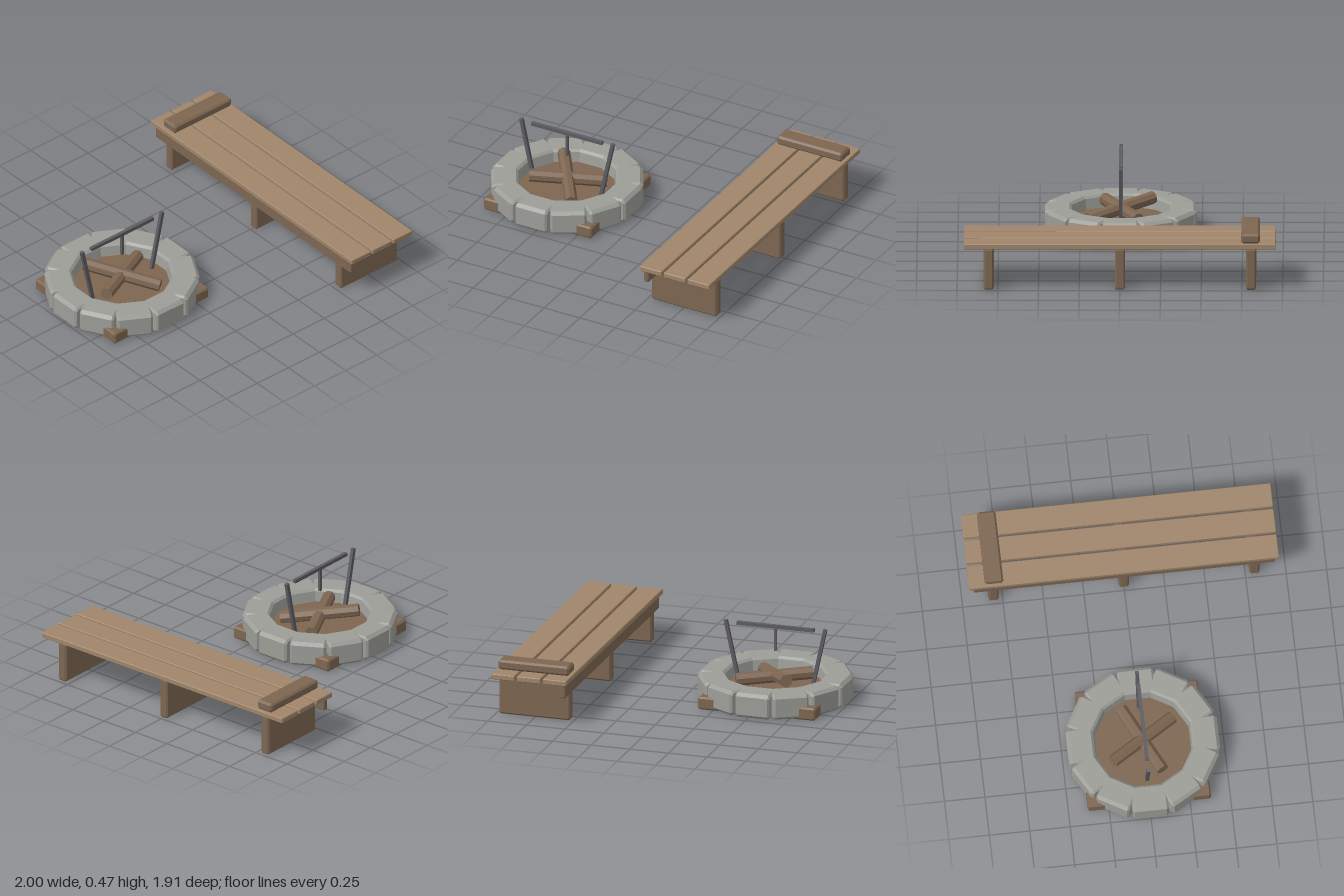
import * as THREE from 'three';

const paint = (name, color) => {
  const m = new THREE.MeshStandardMaterial({ color, flatShading: true });
  m.name = name;
  return m;
};

// Extrudes a convex outline along z, centred, with chamfered ends
function chamferedPrism(points, depth, c) {
  const shape = new THREE.Shape(points.map(([x, y]) => new THREE.Vector2(x, y)));
  const geo = new THREE.ExtrudeGeometry(shape, {
    depth: depth - 2 * c, bevelEnabled: true, bevelThickness: c,
    bevelSize: c, bevelOffset: -c, bevelSegments: 1,
  });
  return geo.translate(0, 0, c - depth / 2);
}

// Box with every edge cut by c
function chamferedBox(w, h, d, c) {
  const x = w / 2, y = h / 2;
  return chamferedPrism([
    [-x + c, -y], [x - c, -y], [x, -y + c], [x, y - c],
    [x - c, y], [-x + c, y], [-x, y - c], [-x, -y + c],
  ], d, c);
}

export function createModel() {
  const model = new THREE.Group();
  model.name = 'campfireAndBench';
  const plank = paint('light wood', 0xa0856a);
  const wood = paint('dark wood', 0x7d6651);
  const stone = paint('stone', 0x9d9d98);
  const iron = paint('iron', 0x5c5c62);

  const add = (parent, name, geo, mat, x = 0, y = 0, z = 0) => {
    const mesh = new THREE.Mesh(geo, mat);
    mesh.name = name;
    mesh.position.set(x, y, z);
    parent.add(mesh);
    return mesh;
  };
  // Straight bar between two points
  const addBar = (parent, name, a, b, geoFor, mat) => {
    const p = new THREE.Vector3(...a), q = new THREE.Vector3(...b);
    const dir = q.clone().sub(p);
    const mid = p.clone().add(q).multiplyScalar(0.5);
    const mesh = add(parent, name, geoFor(dir.length()), mat, mid.x, mid.y, mid.z);
    mesh.quaternion.setFromUnitVectors(new THREE.Vector3(0, 1, 0), dir.normalize());
    return mesh;
  };

  // Fire pit
  const pit = new THREE.Group();
  pit.name = 'firePit';
  pit.position.x = -0.533;
  model.add(pit);

  // Square wooden base whose corners show outside the ring
  add(pit, 'base', chamferedBox(0.76, 0.08, 0.76, 0.01), wood, 0, 0.04, 0);

  // Twelve stones with notches between them
  const profile = [
    [0.28, 0.005], [0.45, 0.005], [0.467, 0.022], [0.467, 0.14],
    [0.447, 0.16], [0.315, 0.16], [0.3, 0.145],
  ];
  const stoneGeo = chamferedPrism(profile, 0.222, 0.012);
  for (let i = 0; i < 12; i++) {
    add(pit, 'ringStone', stoneGeo, stone).rotation.y = i * Math.PI / 6;
  }

  // Crossed logs
  const log = (len) => new THREE.CylinderGeometry(0.04, 0.04, len, 8);
  addBar(pit, 'upperLog', [-0.135, 0.18, -0.2], [0.14, 0.108, 0.2], log, wood);
  addBar(pit, 'lowerLog', [-0.21, 0.15, 0.1], [0.22, 0.125, -0.11], log, wood);

  // Cooking frame
  const rod = (len) => new THREE.BoxGeometry(0.022, len, 0.022);
  for (const s of [-1, 1]) {
    addBar(pit, 'framePost', [s * 0.238, 0.08, 0], [s * 0.322, 0.468, 0], rod, iron);
  }
  add(pit, 'crossbar', new THREE.BoxGeometry(0.5, 0.022, 0.022), iron, 0, 0.456, 0);
  add(pit, 'hangingHook', new THREE.BoxGeometry(0.016, 0.15, 0.016), iron, 0, 0.375, 0);

  // Bench
  const bench = new THREE.Group();
  bench.name = 'bench';
  bench.position.x = 0.752;
  model.add(bench);

  const slatGeo = chamferedBox(0.152, 0.034, 1.915, 0.004);
  for (const x of [-0.168, 0, 0.168]) add(bench, 'seatPlank', slatGeo, plank, x, 0.276, 0);

  const legGeo = chamferedBox(0.46, 0.26, 0.062, 0.01);
  for (const z of [-0.806, 0, 0.806]) add(bench, 'legPanel', legGeo, wood, 0, 0.13, z);

  // Single rail under the side facing the fire
  add(bench, 'sideRail', chamferedBox(0.034, 0.09, 1.86, 0.006), wood, -0.213, 0.217, 0);
  add(bench, 'headrest', chamferedBox(0.46, 0.06, 0.115, 0.012), wood, 0, 0.323, -0.803);

  return model;
}
